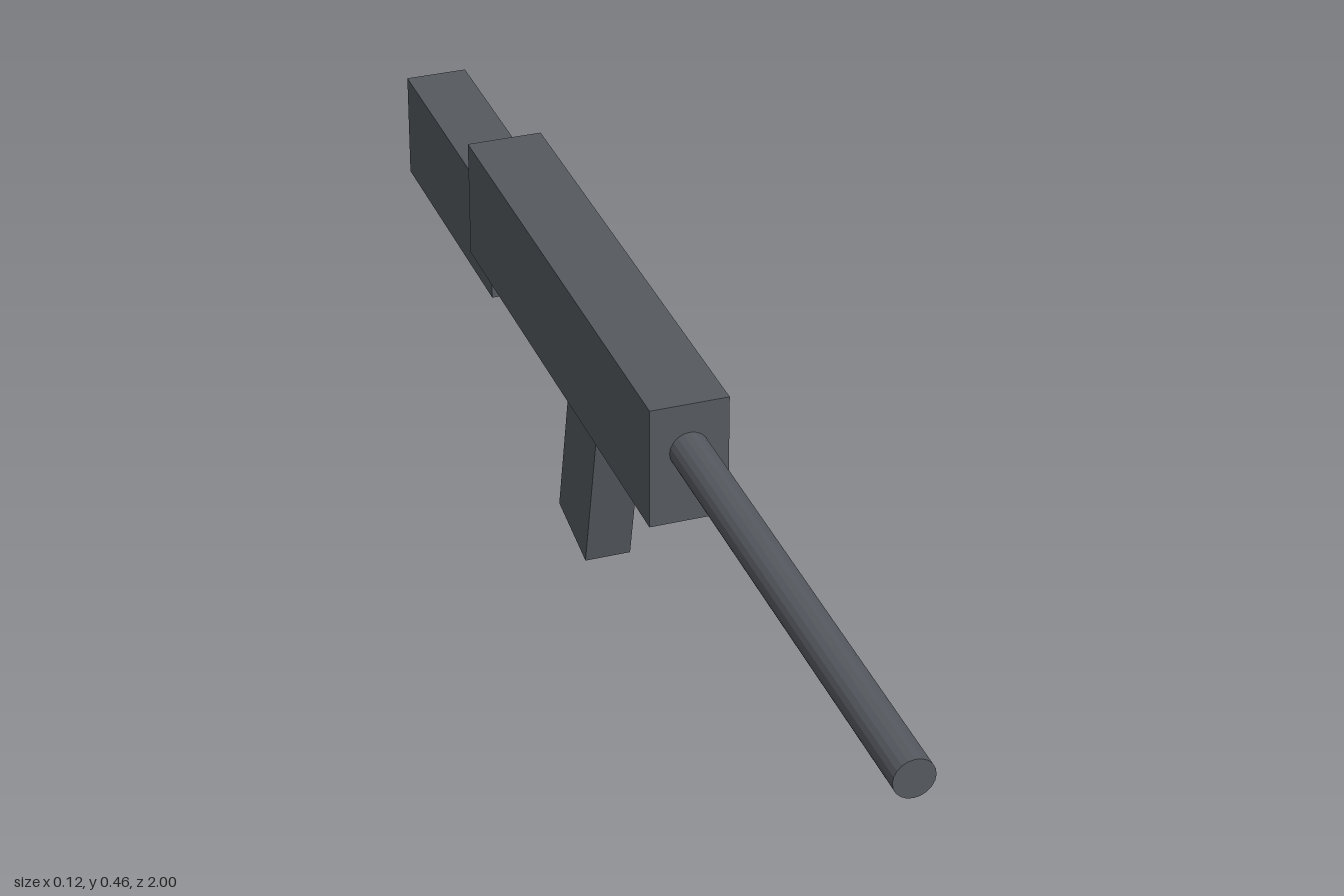
import * as THREE from 'three';

export function createModel() {
  const model = new THREE.Group();
  const gunmetal = new THREE.MeshStandardMaterial({ color: 0x565a60, flatShading: true });
  gunmetal.name = 'gunmetal';

  const add = (name, geometry, y, z, tilt = 0) => {
    const mesh = new THREE.Mesh(geometry, gunmetal);
    mesh.name = name;
    mesh.position.set(0, y, z);
    mesh.rotation.x = tilt;
    model.add(mesh);
  };

  // Main body
  add('receiver', new THREE.BoxGeometry(0.116, 0.187, 0.832), 0.3695, -0.221);

  // Rear block, running a little way into the body
  add('stock', new THREE.BoxGeometry(0.096, 0.167, 0.44), 0.3185, -0.78);

  // Long barrel, its rear end set into the body
  add('barrel', new THREE.CylinderGeometry(0.029, 0.029, 0.83, 20), 0.389, 0.585, Math.PI / 2);

  // Grip, raked backwards
  add('grip', new THREE.BoxGeometry(0.07, 0.3, 0.126), 0.16, -0.185, 0.22);

  return model;
}
